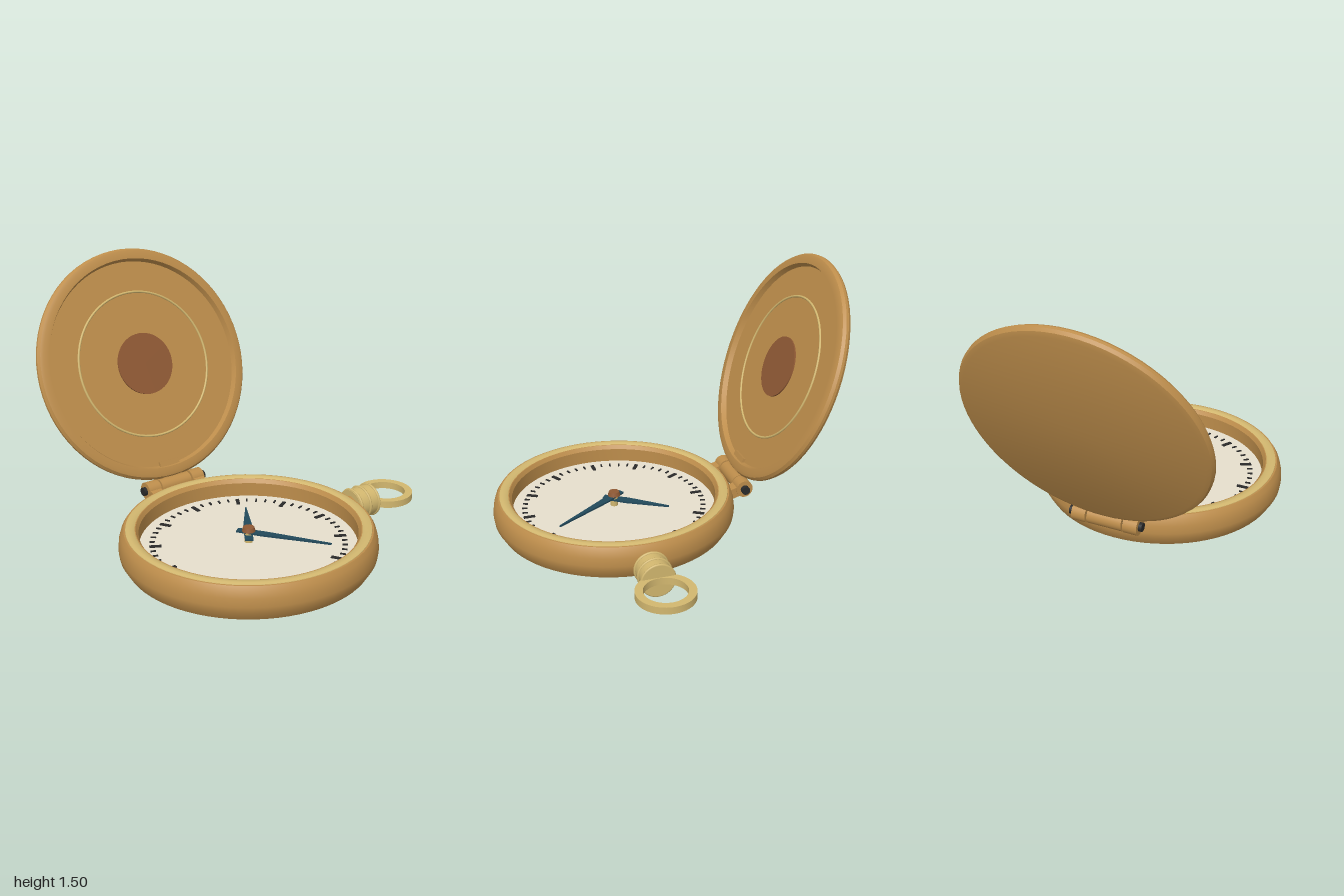
import * as THREE from 'three';
import { toCreasedNormals } from 'three/addons/utils/BufferGeometryUtils.js';

const mat = (color) => new THREE.MeshStandardMaterial({ color });
const brass = mat(0xbd8d4b), gold = mat(0xd2b76f), copper = mat(0x8f5934);
const enamel = mat(0xe6dfcd), steel = mat(0x22495b), black = mat(0x2a2a2a);

function add(parent, name, geometry, material, x = 0, y = 0, z = 0) {
  const mesh = new THREE.Mesh(geometry, material);
  mesh.name = name;
  mesh.position.set(x, y, z);
  parent.add(mesh);
  return mesh;
}

// Turned part from [radius, height] pairs, listed bottom to top on the outside
function lathe(profile, segments = 72) {
  const points = profile.map(([r, y]) => new THREE.Vector2(r, y));
  return toCreasedNormals(new THREE.LatheGeometry(points, segments), 0.5);
}

// Cylinder lying along z
function rod(radius, length, segments = 24) {
  return new THREE.CylinderGeometry(radius, radius, length, segments).rotateX(Math.PI / 2);
}

// Tapered hand lying flat and pointing to -z
function handGeometry(length, width) {
  const shape = new THREE.Shape([
    [-width * 0.8, -0.065], [width * 0.8, -0.065], [width, 0.08],
    [0.003, length], [-0.003, length], [-width, 0.08],
  ].map(([x, y]) => new THREE.Vector2(x, y)));
  return new THREE.ExtrudeGeometry(shape, { depth: 0.01, bevelEnabled: false }).rotateX(-Math.PI / 2);
}

function createWatch() {
  const watch = new THREE.Group();
  watch.name = 'watch';

  // Case with a recess for the dial, and the bezel on its lip
  add(watch, 'case', lathe([
    [0, 0], [0.51, 0], [0.64, 0.022], [0.665, 0.035], [0.695, 0.085], [0.7, 0.12],
    [0.695, 0.165], [0.685, 0.2], [0.67, 0.222], [0.605, 0.222], [0.59, 0.2], [0.59, 0.1],
  ]), brass);
  add(watch, 'bezel', lathe([
    [0.665, 0.21], [0.66, 0.225], [0.645, 0.23], [0.625, 0.23], [0.61, 0.222], [0.605, 0.2],
  ]), gold);
  add(watch, 'dial', new THREE.CylinderGeometry(0.592, 0.592, 0.02, 72), enamel, 0, 0.11, 0);

  // Minute and hour marks
  const marks = new THREE.Group();
  marks.name = 'marks';
  watch.add(marks);
  const hourMark = new THREE.BoxGeometry(0.02, 0.006, 0.065);
  const minuteMark = new THREE.BoxGeometry(0.009, 0.006, 0.03);
  for (let i = 0; i < 60; i++) {
    const hour = i % 5 === 0, a = (i / 60) * Math.PI * 2;
    const r = hour ? 0.503 : 0.52;
    const mark = add(marks, hour ? 'hourMark' : 'minuteMark', hour ? hourMark : minuteMark, black,
      Math.sin(a) * r, 0.123, -Math.cos(a) * r);
    mark.rotation.y = -a;
  }

  // Hands on their post
  add(watch, 'hourHand', handGeometry(0.335, 0.027), steel, 0, 0.155, 0).rotation.y = 0.97;
  add(watch, 'minuteHand', handGeometry(0.46, 0.023), steel, 0, 0.173, 0).rotation.y = -0.97;
  add(watch, 'handPost', new THREE.CylinderGeometry(0.022, 0.022, 0.08, 16), gold, 0, 0.155, 0);
  add(watch, 'handCap', new THREE.CylinderGeometry(0.03, 0.037, 0.024, 16), copper, 0, 0.196, 0);
  return watch;
}

function createCrown() {
  const crown = new THREE.Group();
  crown.name = 'crown';
  add(crown, 'neck', rod(0.056, 0.13), brass, 0, 0, -0.46);
  add(crown, 'crownBarrel', rod(0.09, 0.15, 32), gold, 0, 0, -0.583);
  for (const z of [-0.52, -0.585, -0.65]) {
    add(crown, 'crownRing', new THREE.TorusGeometry(0.09, 0.008, 8, 32), gold, 0, 0, z);
  }
  // Flat bow ring
  const ring = new THREE.Shape().absarc(0, 0, 0.16, 0, Math.PI * 2);
  ring.holes.push(new THREE.Path().absarc(0, 0, 0.117, 0, Math.PI * 2, true));
  const bow = new THREE.ExtrudeGeometry(ring, { depth: 0.04, bevelEnabled: false, curveSegments: 32 });
  bow.translate(0, 0, -0.02).rotateX(Math.PI / 2);
  add(crown, 'bow', toCreasedNormals(bow, 0.5), gold, 0, 0, -0.78);
  return crown;
}

// Origin on the hinge axis; the closed lid would reach along +x
function createLid() {
  const lid = new THREE.Group();
  lid.name = 'lid';
  const disc = new THREE.Group();
  disc.name = 'lidDisc';
  disc.position.x = 0.72;
  disc.rotation.x = Math.PI; // inner face towards the dial
  lid.add(disc);
  add(disc, 'lidShell', lathe([
    [0, -0.032], [0.645, -0.032], [0.67, -0.022], [0.68, -0.005], [0.68, 0.01],
    [0.668, 0.026], [0.65, 0.032], [0.617, 0.032], [0.605, 0.002], [0, 0.002],
  ]), brass);
  add(disc, 'lidRing', new THREE.TorusGeometry(0.425, 0.007, 8, 72).rotateX(Math.PI / 2), gold, 0, 0.003, 0);
  add(disc, 'lidMedallion', new THREE.CylinderGeometry(0.18, 0.18, 0.012, 48), copper, 0, 0.004, 0);

  // Lid side of the hinge
  add(lid, 'lidLug', new THREE.BoxGeometry(0.14, 0.036, 0.13), brass, 0.07, 0, 0);
  add(lid, 'lidKnuckle', rod(0.048, 0.2), brass);
  return lid;
}

export function createModel() {
  const model = new THREE.Group();
  model.name = 'pocketWatch';

  const watch = createWatch();
  watch.position.set(0.29, 0, 0.23);
  model.add(watch);

  const crown = createCrown();
  crown.position.set(0.29, 0.125, 0);
  model.add(crown);

  const lid = createLid();
  lid.position.set(-0.45, 0.2, 0.225);
  lid.rotation.z = THREE.MathUtils.degToRad(112);
  model.add(lid);

  // Case side of the hinge: two knuckles with arms, and the pin through them
  for (const side of [-1, 1]) {
    const z = 0.225 + side * 0.15;
    add(model, 'caseKnuckle', rod(0.05, 0.08), brass, -0.45, 0.2, z);
    add(model, 'hingeArm', new THREE.BoxGeometry(0.12, 0.06, 0.07), brass, -0.385, 0.178, z).rotation.z = -0.3;
  }
  add(model, 'hingePin', rod(0.025, 0.425, 16), black, -0.45, 0.2, 0.222);
  return model;
}
